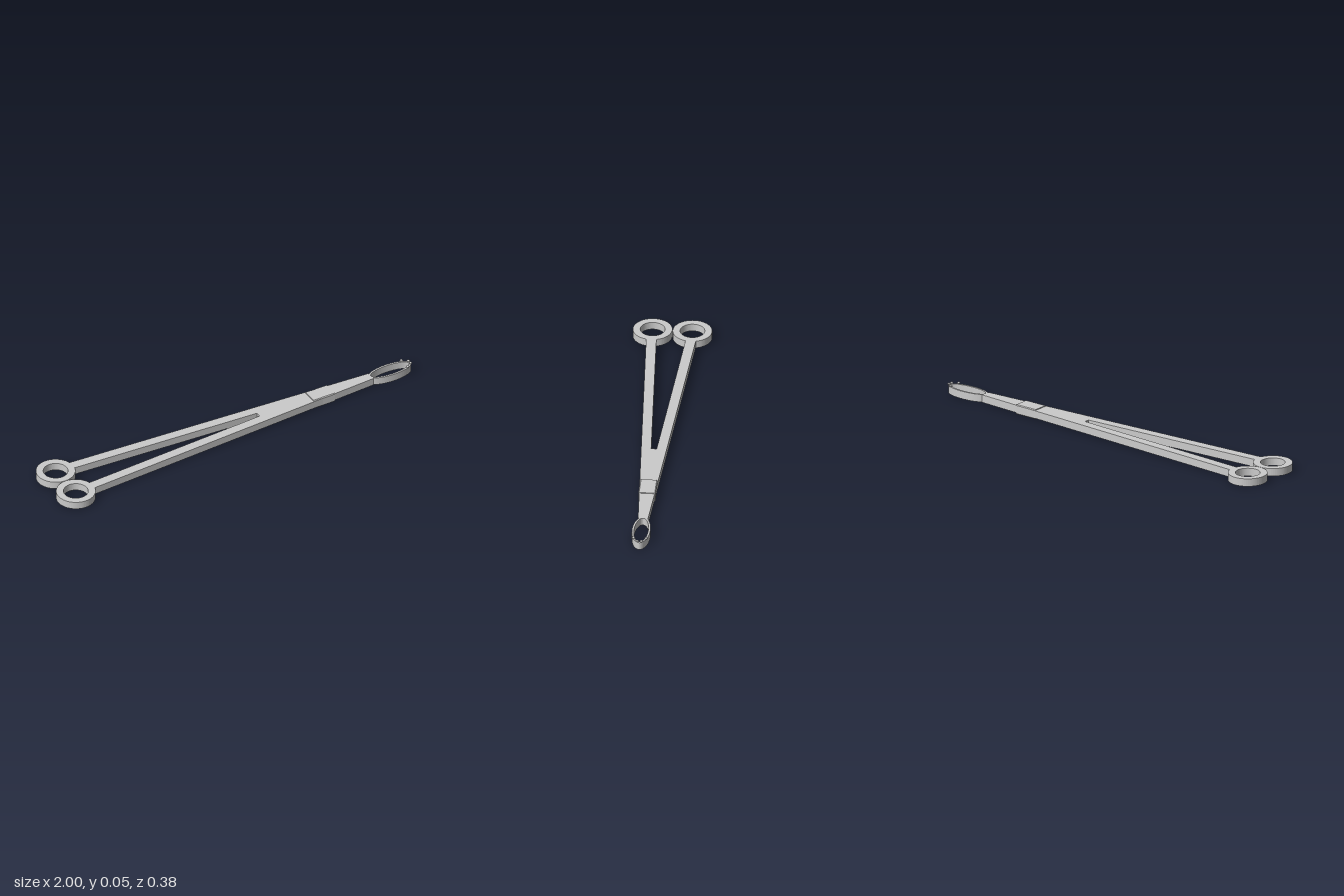
import * as THREE from 'three';

const Y0 = 0.007, H = 0.038;
const mat = new THREE.MeshStandardMaterial({ color: 0xcccccc });

// Extrude a plan outline (x, z) upward from Y0
function plate(name, shape) {
  const geo = new THREE.ExtrudeGeometry(shape, { depth: H, bevelEnabled: false, curveSegments: 32 });
  geo.rotateX(-Math.PI / 2);
  geo.translate(0, Y0, 0);
  const mesh = new THREE.Mesh(geo, mat);
  mesh.name = name;
  return mesh;
}

function ellipseRing(cx, cy, rx, ry, ix, iy) {
  const shape = new THREE.Shape().absellipse(cx, cy, rx, ry, 0, Math.PI * 2);
  shape.holes.push(new THREE.Path().absellipse(cx, cy, ix, iy, 0, Math.PI * 2, true));
  return shape;
}

export function createModel() {
  const group = new THREE.Group();

  // Two converging arms joined ahead of a blunt slot
  const half = [[-0.825, 0.119], [-0.825, 0.07], [0.155, 0.013]];
  const outline = [
    [0.775, 0.024], ...half,
    ...half.map(([x, z]) => [x, -z]).reverse(), [0.775, -0.024],
  ].map(([x, z]) => new THREE.Vector2(x, z));
  group.add(plate('arms', new THREE.Shape(outline)));

  // Finger rings
  for (const s of [1, -1]) {
    group.add(plate(s > 0 ? 'backFingerRing' : 'frontFingerRing',
      ellipseRing(-0.906, s * 0.095, 0.094, 0.094, 0.059, 0.059)));
  }

  // Oval gripping jaw
  const jx = 0.88, jrx = 0.115, jrz = 0.044;
  group.add(plate('jaw', ellipseRing(jx, 0, jrx, jrz, jrx - 0.011, jrz - 0.01)));

  // Pivot block wrapped around the arms, with small chamfers along its length
  const w = 0.041, b = 0.001, t = 0.049, c = 0.004;
  const section = new THREE.Shape([
    [-w + c, b], [w - c, b], [w, b + c], [w, t - c],
    [w - c, t], [-w + c, t], [-w, t - c], [-w, b + c],
  ].map(([x, y]) => new THREE.Vector2(x, y)));
  const pivotGeo = new THREE.ExtrudeGeometry(section, { depth: 0.118, bevelEnabled: false });
  pivotGeo.rotateY(Math.PI / 2);
  const pivot = new THREE.Mesh(pivotGeo, mat);
  pivot.name = 'pivotBlock';
  pivot.position.x = 0.437;
  group.add(pivot);

  // Gripping teeth along the tip of the jaw
  for (const z of [-0.03, -0.01, 0.01, 0.03]) {
    const tooth = new THREE.Mesh(new THREE.SphereGeometry(0.008, 10, 6), mat);
    tooth.name = 'tooth';
    tooth.scale.y = 0.6;
    tooth.position.set(jx + (jrx - 0.004) * Math.sqrt(1 - (z / jrz) ** 2), 0.05, z);
    group.add(tooth);
  }
  return group;
}
